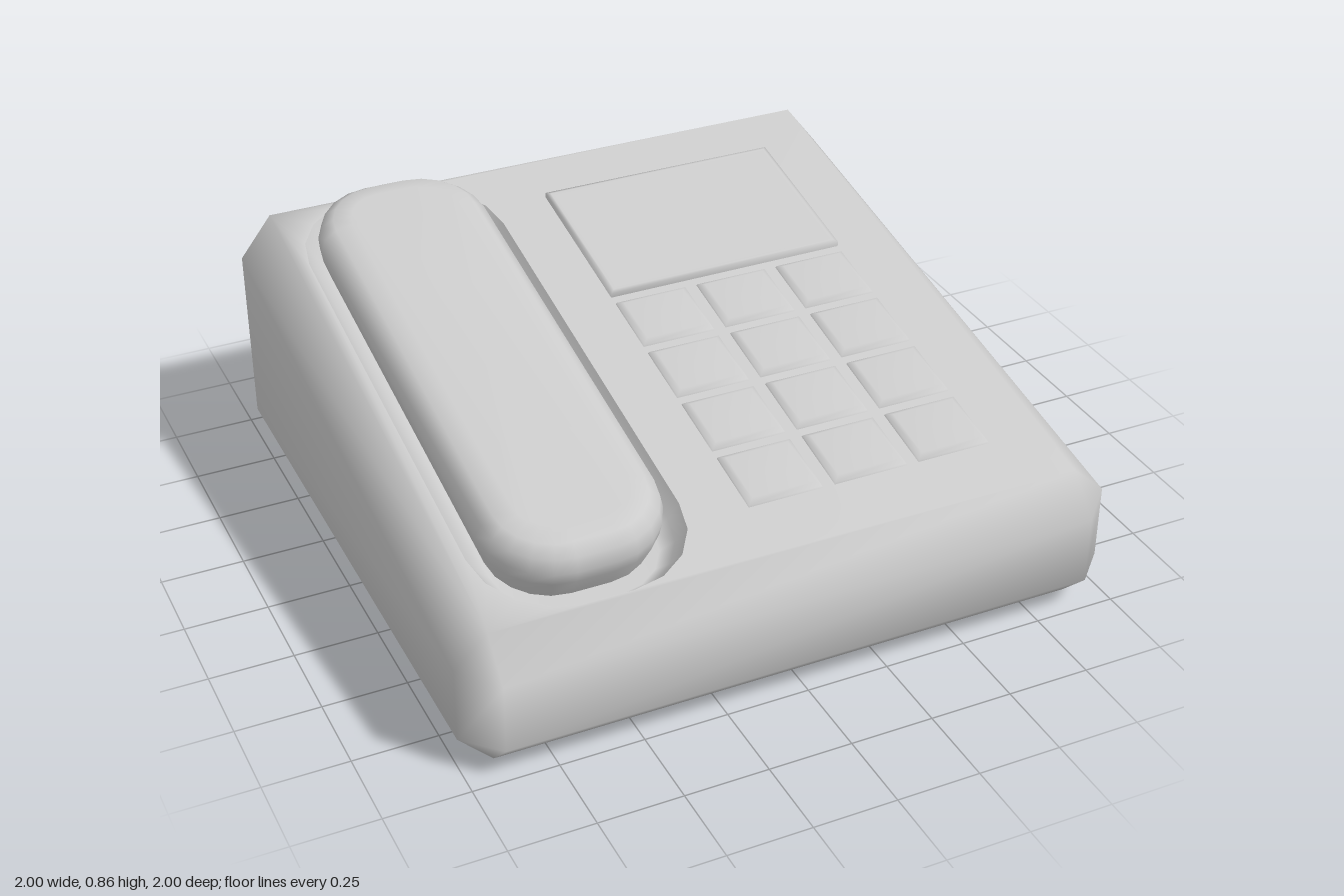
import * as THREE from 'three';
import { mergeGeometries, mergeVertices } from 'three/addons/utils/BufferGeometryUtils.js';

const SLOPE = 0.2;
const deckY = (z) => 0.6 - SLOPE * z;
// Point at height h above the sloping deck
const onDeck = (x, z, h) => [x, deckY(z) + h * 0.98, z + SLOPE * h * 0.98];

// Rounded rectangle outline as [x, z] pairs
function roundRect(cx, cz, hw, hd, r, seg) {
  const pts = [];
  [[1, 1], [-1, 1], [-1, -1], [1, -1]].forEach(([sx, sz], q) => {
    for (let i = 0; i <= seg; i++) {
      const a = (q + (seg ? i / seg : 0.5)) * Math.PI / 2;
      const k = seg ? r : 0;
      pts.push([cx + sx * (hw - k) + k * Math.cos(a), cz + sz * (hd - k) + k * Math.sin(a)]);
    }
  });
  return pts;
}

// Skin through rings of [x, y, z] points, optionally closed at either end
function loft(rings, capEnd, capStart) {
  const n = rings[0].length, pos = rings.flat(2), idx = [];
  for (let k = 0; k < rings.length - 1; k++) {
    for (let i = 0; i < n; i++) {
      const j = (i + 1) % n, a = k * n + i, b = k * n + j;
      idx.push(a, a + n, b, b, a + n, b + n);
    }
  }
  const cap = (k, flip) => {
    const c = pos.length / 3;
    for (let d = 0; d < 3; d++) pos.push(rings[k].reduce((s, p) => s + p[d], 0) / n);
    for (let i = 0; i < n; i++) {
      const a = k * n + i, b = k * n + (i + 1) % n;
      if (flip) idx.push(c, a, b); else idx.push(c, b, a);
    }
  };
  if (capEnd) cap(rings.length - 1, false);
  if (capStart) cap(0, true);
  const g = new THREE.BufferGeometry();
  g.setAttribute('position', new THREE.Float32BufferAttribute(pos, 3));
  g.setIndex(idx);
  return g;
}

function smooth(g) {
  const m = mergeVertices(g, 1e-4);
  m.computeVertexNormals();
  return m;
}

// Raised or sunken pad on the deck: profile is a list of [inset, height]
function pad([cx, cz, hw, hd, r, seg], profile) {
  return smooth(loft(profile.map(([i, h]) =>
    roundRect(cx, cz, hw - i, hd - i, Math.max(r - i, 0), seg).map(([x, z]) => onDeck(x, z, h))), true));
}

export function createModel() {
  const root = new THREE.Group();
  const mat = new THREE.MeshStandardMaterial({ color: 0xcccccc });
  const add = (name, geo, parent = root) => {
    const m = new THREE.Mesh(geo, mat);
    m.name = name;
    parent.add(m);
  };

  // Wedge body with chamfered edges
  const oct = [[1, 0.9], [0.9, 1], [-0.9, 1], [-1, 0.9], [-1, -0.9], [-0.9, -1], [0.9, -1], [1, -0.9]];
  const corners = oct.map(([x, z]) => [0.9 * Math.sign(x), 0.9 * Math.sign(z)]);
  const shell = loft([
    corners.map(([x, z]) => [x, 0, z]),
    oct.map(([x, z]) => [x, 0.1, z]),
    oct.map(([x, z]) => [x, 0.49 - 0.18 * z, z]),
    corners.map(([x, z]) => [x, deckY(z), z]),
  ], false, true);

  // Sloping deck with an opening for the cradle
  const cradle = [-0.545, 0, 0.315, 0.89, 0.25, 4];
  const toV = ([x, z]) => new THREE.Vector2(x, -z);
  const shape = new THREE.Shape(roundRect(0, 0, 0.9, 0.9, 0, 0).map(toV));
  shape.holes.push(new THREE.Path(roundRect(...cradle).map(toV)));
  const deck = new THREE.ShapeGeometry(shape).rotateX(-Math.PI / 2);
  const p = deck.attributes.position;
  for (let i = 0; i < p.count; i++) p.setY(i, deckY(p.getZ(i)));
  deck.deleteAttribute('uv');
  deck.deleteAttribute('normal');
  add('body', smooth(mergeGeometries([shell, deck])));

  // Sunken cradle and the handset resting in it
  add('cradle', pad(cradle, [[0, 0], [0.03, -0.05], [0.07, -0.09]]));
  add('handset', pad([-0.545, -0.035, 0.268, 0.835, 0.21, 5],
    [[0.03, -0.09], [0.005, -0.02], [0, 0.02], [0.012, 0.065], [0.045, 0.092], [0.1, 0.105]]));

  // Display panel with a thin raised border
  add('display', pad([0.333, -0.465, 0.388, 0.255, 0, 0],
    [[0, -0.01], [0, 0.016], [0.012, 0.02], [0.025, 0.018]]));

  // Keypad, four rows of three
  const keypad = new THREE.Group();
  keypad.name = 'keypad';
  root.add(keypad);
  for (let row = 0; row < 4; row++) {
    for (let col = 0; col < 3; col++) {
      add('key', pad([0.062 + col * 0.27, -0.078 + row * 0.232, 0.118, 0.103, 0, 0],
        [[0, -0.005], [0.004, 0.006], [0.02, 0.015]]), keypad);
    }
  }
  return root;
}
